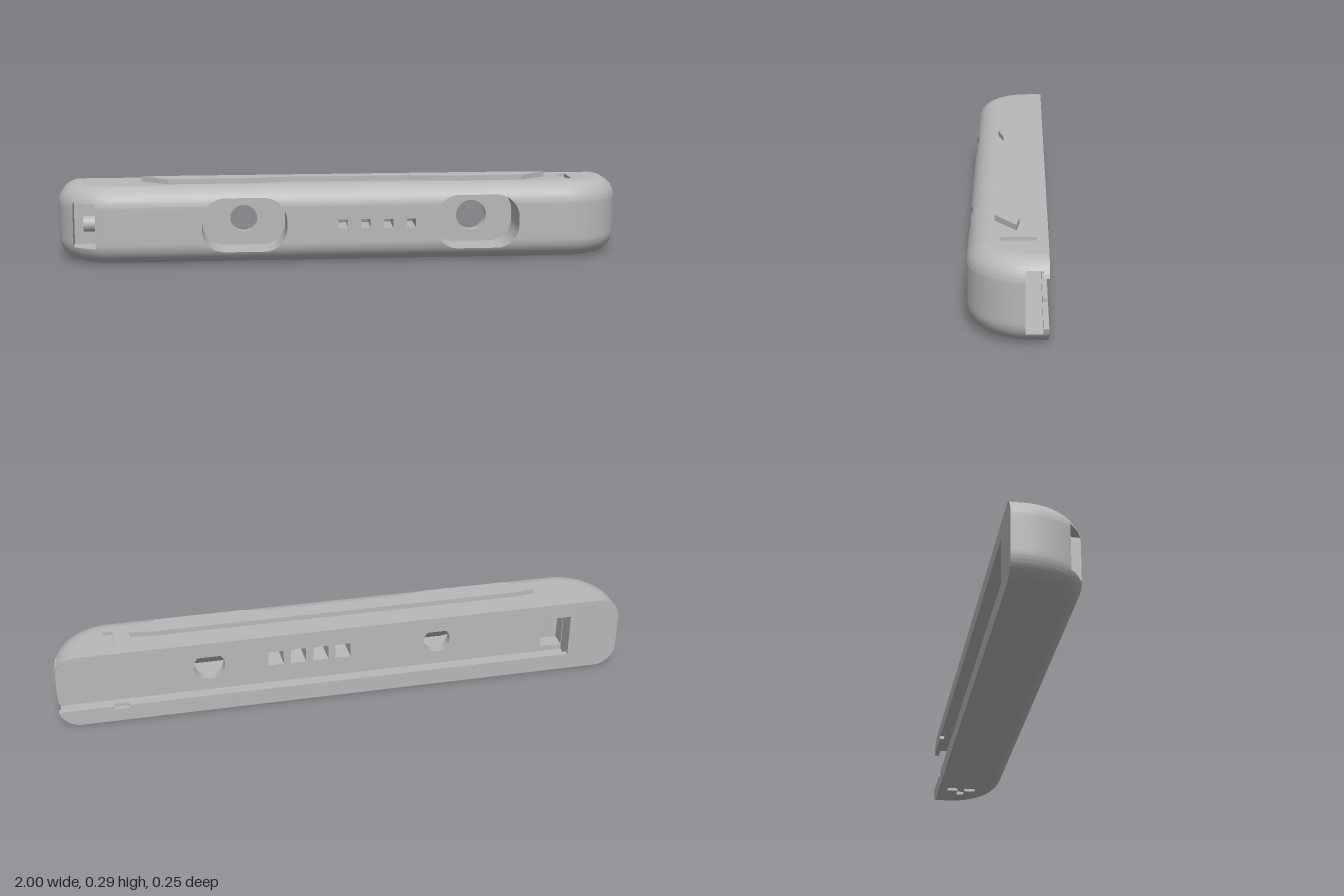
import * as THREE from 'three';
import { toCreasedNormals } from 'three/addons/utils/BufferGeometryUtils.js';

const H = 0.272, F = 0.075, R = 0.2, XC = 0.8, ZC = -0.075;   // height, edge fillet, plan corner
const ZF = 0.125, ZB = -0.125, ZFLOOR = -0.055, ZLIP = -0.108; // front, back, channel levels
const Y0 = 0.04, Y1 = 0.238, L0 = 0.06, L1 = 0.217, XE = -0.82; // channel, lip opening, channel end
const YC = 0.137, RECESS = [-0.347, 0.47], RECESS_Z = -0.02;
const SQUARES = [-0.005, 0.075, 0.155, 0.235], SQ = 0.016;
const V = (x, y, z) => new THREE.Vector3(x, y, z);

// inset of the skin caused by the top and bottom fillets
function inset(y) {
  const t = Math.min(F, Math.max(0, F - y, y - (H - F)));
  return F - Math.sqrt(F * F - t * t);
}

// half width of a finger recess at height y
function recessHalf(y) {
  const t = Math.min(0.08, Math.max(0, Math.abs(y - YC) - 0.015));
  return 0.0675 + Math.sqrt(0.0064 - t * t);
}

// collects quads and plates into one geometry
class Surface {
  constructor() { this.p = []; }
  quad(a, b, c, d) {
    for (const v of [a, b, c, a, c, d]) this.p.push(v.x, v.y, v.z);
  }
  plate(points, holes, map) {
    const shape = new THREE.Shape(points.map(([u, v]) => new THREE.Vector2(u, v)));
    shape.holes = holes.map(h => new THREE.Path(h.map(([u, v]) => new THREE.Vector2(u, v))));
    const g = new THREE.ShapeGeometry(shape).toNonIndexed(), a = g.attributes.position;
    for (let i = 0; i < a.count; i++) {
      const v = map(a.getX(i), a.getY(i));
      this.p.push(v.x, v.y, v.z);
    }
  }
  wall(near, far, closed = true) {
    const n = near.length;
    for (let i = 0; i < (closed ? n : n - 1); i++) {
      const j = (i + 1) % n;
      this.quad(near[i], near[j], far[j], far[i]);
    }
  }
  mesh(name, material) {
    const g = new THREE.BufferGeometry();
    g.setAttribute('position', new THREE.Float32BufferAttribute(this.p, 3));
    const m = new THREE.Mesh(toCreasedNormals(g, 0.5), material);
    m.name = name;
    return m;
  }
}

const rect = (x0, x1, y0, y1) => [[x0, y0], [x1, y0], [x1, y1], [x0, y1]];
const circle = (x, y, r) => Array.from({ length: 40 }, (_, i) => {
  const a = i / 40 * Math.PI * 2;
  return [x + r * Math.cos(a), y + r * Math.sin(a)];
});
const negX = pts => pts.map(([x, y]) => [-x, y]);

export function createModel() {
  const group = new THREE.Group();
  const gray = new THREE.MeshStandardMaterial({ color: 0xb8b8b8, side: THREE.DoubleSide });
  gray.name = 'plain gray';
  const add = (s, name) => group.add(s.mesh(name, gray));

  // height levels shared by the whole skin
  let ys = [Y0, Y1, L0, L1, YC - SQ, YC + SQ];
  for (let i = 0; i <= 9; i++) {
    const a = i / 9 * Math.PI / 2;
    const f = F * (1 - Math.sin(a)), r = 0.015 + 0.08 * Math.sin(a);
    ys.push(f, H - f, YC - r, YC + r);
  }
  ys = ys.sort((a, b) => a - b).filter((y, i, l) => !i || y - l[i - 1] > 1e-6);

  // front skin with recess and square openings
  const front = new Surface();
  const fp = (x, y) => V(x, y, ZF - inset(y));
  for (let i = 0; i + 1 < ys.length; i++) {
    const a = ys[i], b = ys[i + 1], m = (a + b) / 2;
    const breaks = y => {
      const l = [-XC];
      const cut = (c, w) => l.push(c - w, c + w);
      const open = Math.abs(m - YC) < 0.095;
      if (open) cut(RECESS[0], recessHalf(y));
      if (Math.abs(m - YC) < SQ) SQUARES.forEach(c => cut(c, SQ));
      if (open) cut(RECESS[1], recessHalf(y));
      return [...l, XC];
    };
    const ba = breaks(a), bb = breaks(b);
    for (let k = 0; k < ba.length; k += 2)
      front.quad(fp(ba[k], a), fp(ba[k + 1], a), fp(bb[k + 1], b), fp(bb[k], b));
  }

  // rounded ends: columns run from the front round to the back
  const aFloor = Math.asin(0.1), aS0 = Math.acos(0.7), aS1 = Math.acos(0.3);
  const cols = [aFloor, aS0, aS1];
  for (let i = 0; i <= 12; i++) cols.push(i / 12 * Math.PI / 2);
  cols.sort((a, b) => b - a);
  const columns = [...cols.map(a => ({ a, z: 0 })), { a: -1, z: ZLIP }, { a: -2, z: ZB }];
  const endPoint = (s, c, y) => {
    const r = R - inset(y);
    return c.a >= 0 ? V(s * (XC + r * Math.cos(c.a)), y, ZC + r * Math.sin(c.a)) : V(s * (XC + r), y, c.z);
  };
  for (const s of [1, -1]) for (let i = 0; i + 1 < ys.length; i++) for (let k = 0; k + 1 < columns.length; k++) {
    const a = ys[i], b = ys[i + 1], y = (a + b) / 2, c = columns[k], e = columns[k + 1];
    const inLip = y > L0 && y < L1;
    if (s > 0 && c.a <= aFloor && (e.a === -2 ? inLip : y > Y0 && y < Y1)) continue; // channel mouth
    if (s < 0 && inLip && c.a <= aS1 && e.a >= aS0) continue;                        // corner slot
    const q = [endPoint(s, c, a), endPoint(s, e, a), endPoint(s, e, b), endPoint(s, c, b)];
    front.quad(...(s > 0 ? q : q.reverse()));
  }
  add(front, 'outerShell');

  // top and bottom faces with engraved plus and minus grooves
  const caps = new Surface();
  const arc = cols.map(a => [XC + 0.125 * Math.cos(a), ZC + 0.125 * Math.sin(a)]);
  const plan = [...arc, [XC + 0.125, ZB], [-XC - 0.125, ZB], ...negX(arc).reverse()];
  const minus = rect(0.79, 0.825, -0.09, 0.02);
  const px = 0.807, pz = -0.035, w = 0.014, l = 0.055;
  const plus = [[w, -l], [w, -w], [l, -w], [l, w], [w, w], [w, l], [-w, l], [-w, w], [-l, w], [-l, -w], [-w, -w], [-w, -l]]
    .map(([x, z]) => [px + x, pz + z]);
  const flipZ = pts => pts.map(([x, z]) => [x, -z]);
  const groove = (pts, y, depth) => {
    caps.wall(pts.map(([x, z]) => V(x, y, z)), pts.map(([x, z]) => V(x, y + depth, z)));
  };
  const topMap = y => (u, v) => V(u, y, -v), botMap = y => (u, v) => V(u, y, v);
  caps.plate(flipZ(plan), [flipZ(minus)], topMap(H));
  caps.plate(flipZ(minus), [], topMap(H - 0.012));
  groove(minus, H, -0.012);
  caps.plate(plan, [plus], botMap(0));
  caps.plate(plus, [], botMap(0.012));
  groove(plus, 0, 0.012);
  add(caps, 'topAndBottomFaces');

  // back face, cut by the lip opening with small notches
  const back = new Surface();
  const edge = (s, lo, hi) => ys.filter(y => y >= lo && y <= hi).map(y => [s * (1 - inset(y)), y]);
  const lip = (y, n) => [[0.81, y], [0.81, n], [0.76, n], [0.76, y], [XE, y]];
  const opening = [[1 - inset(L0), L0], ...lip(L0, 0.047), ...lip(L1, 0.23).reverse(), [1 - inset(L1), L1]];
  const backMap = z => (u, v) => V(-u, v, z);
  back.plate(negX([...edge(1, 0, L0 - 1e-4), ...opening, ...edge(1, L1 + 1e-4, H), ...edge(-1, 0, H).reverse()]), [], backMap(ZB));
  back.wall(opening.map(([x, y]) => V(x, y, ZB)), opening.map(([x, y]) => V(x, y, ZLIP)), false);
  add(back, 'backFaceAndLips');

  // sliding channel behind the lips
  const channel = new Surface();
  const xe = 1 - inset(Y0);
  const box = [[xe, Y0], [XE, Y0], [XE, Y1], [xe, Y1]];
  channel.wall(box.map(([x, y]) => V(x, y, ZLIP)), box.map(([x, y]) => V(x, y, ZFLOOR)), false);
  for (const [a, b] of [[Y0, L0], [L1, Y1]])
    channel.plate(rect(XE, xe, a, b), [], (u, v) => V(u, v, ZLIP));
  const pocket = rect(XE + 0.002, -0.74, L0, L1);
  const bores = RECESS.map((x, i) => circle(x, YC, i ? 0.054 : 0.048));
  const bigSquares = SQUARES.map(x => rect(x - 0.027, x + 0.027, YC - 0.027, YC + 0.027));
  const floor = [[XE, Y0], ...edge(1, Y0, Y1).map(([x, y]) => [x - 0.001, y]), [XE, Y1]];
  channel.plate(negX(floor), [pocket, ...bores, ...bigSquares].map(negX), backMap(ZFLOOR));
  channel.wall(pocket.map(([x, y]) => V(x, y, 0)), pocket.map(([x, y]) => V(x, y, ZFLOOR)));
  channel.plate(negX(pocket), [], backMap(0));
  add(channel, 'channel');

  // finger recesses with round bores
  RECESS.forEach((cx, i) => {
    const s = new Surface();
    const rows = ys.filter(y => Math.abs(y - YC) < 0.0951);
    const rim = [...rows.map(y => [cx + recessHalf(y), y]), ...rows.map(y => [cx - recessHalf(y), y]).reverse()];
    s.wall(rim.map(([x, y]) => fp(x, y)), rim.map(([x, y]) => V(x, y, RECESS_Z)));
    s.plate(rim, [bores[i]], (u, v) => V(u, v, RECESS_Z));
    s.wall(bores[i].map(([x, y]) => V(x, y, RECESS_Z)), bores[i].map(([x, y]) => V(x, y, ZFLOOR)));
    add(s, i ? 'leftRecess' : 'rightRecess');
  });

  // tapered square windows
  const windows = new Surface();
  SQUARES.forEach((x, i) => windows.wall(
    rect(x - SQ, x + SQ, YC - SQ, YC + SQ).map(([a, b]) => V(a, b, ZF)),
    bigSquares[i].map(([a, b]) => V(a, b, ZFLOOR))));
  add(windows, 'squareWindows');

  // corner slot with a pin
  const slot = new Surface();
  const sx = a => -XC - R * Math.cos(a), sz = a => ZC + R * Math.sin(a), deep = 0.01;
  const rowsS = ys.filter(y => y >= L0 && y <= L1);
  const inner = cols.filter(a => a <= aS1 && a >= aS0);
  const rimS = [...inner.slice().reverse().map(a => [a, L0]), ...rowsS.map(y => [aS1, y]),
    ...inner.map(a => [a, L1]), ...rowsS.map(y => [aS0, y]).reverse()];
  slot.wall(rimS.map(([a, y]) => endPoint(-1, { a }, y)), rimS.map(([a, y]) => V(sx(a), y, deep)));
  slot.plate(rect(sx(aS0), sx(aS1), L0, L1), [], (u, v) => V(u, v, deep));
  add(slot, 'cornerSlot');
  const pin = new THREE.Mesh(new THREE.CylinderGeometry(0.027, 0.027, 0.045, 24), gray);
  pin.rotation.z = Math.PI / 2;
  pin.position.set((sx(aS1) - 0.022), YC, 0.04);
  pin.name = 'slotPin';
  group.add(pin);

  // raised rail on top
  const railPts = [[-0.705, -0.028], [-0.61, 0.041], [-0.32, 0.041], [-0.235, 0.02], [0.235, 0.02],
    [0.33, 0.041], [0.64, 0.041], [0.735, -0.028], [0.66, -0.037], [-0.63, -0.037]];
  const railGeo = new THREE.ExtrudeGeometry(new THREE.Shape(railPts.map(([x, z]) => new THREE.Vector2(x, -z))),
    { depth: 0.02, bevelEnabled: false });
  railGeo.rotateX(-Math.PI / 2).translate(0, H - 0.002, 0);
  const rail = new THREE.Mesh(railGeo, gray);
  rail.name = 'topRail';
  group.add(rail);

  return group;
}
